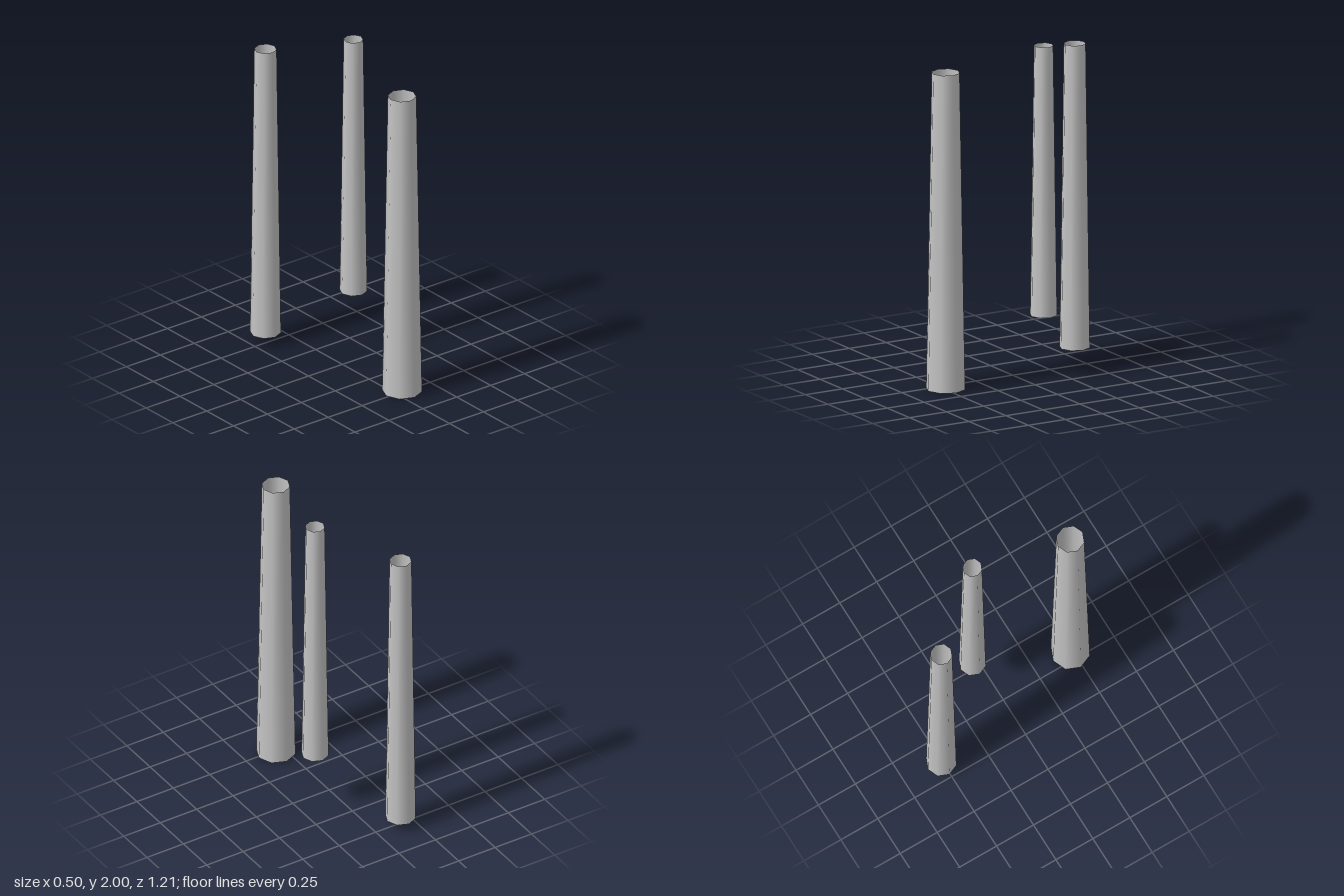
import * as THREE from 'three';

// Three open, tapered eight-sided columns standing at different heights.
export function createModel() {
  const model = new THREE.Group();
  model.name = 'columns';
  const grey = new THREE.MeshStandardMaterial({ color: 0xc4c4c4, side: THREE.DoubleSide });
  grey.name = 'light grey';

  function addColumn(name, x, z, bottom, top, rBottom, rTop) {
    const geometry = new THREE.CylinderGeometry(rTop, rBottom, top - bottom, 8, 1, true);
    const column = new THREE.Mesh(geometry, grey);
    column.name = name;
    column.position.set(x, (bottom + top) / 2, z);
    model.add(column);
  }

  addColumn('frontColumn', 0.055, 0.487, 0, 1.895, 0.116, 0.083);
  addColumn('backColumn', -0.16, -0.516, 0.06, 1.88, 0.09, 0.065);
  addColumn('middleColumn', 0.166, -0.108, 0.385, 2, 0.08, 0.057);
  return model;
}
